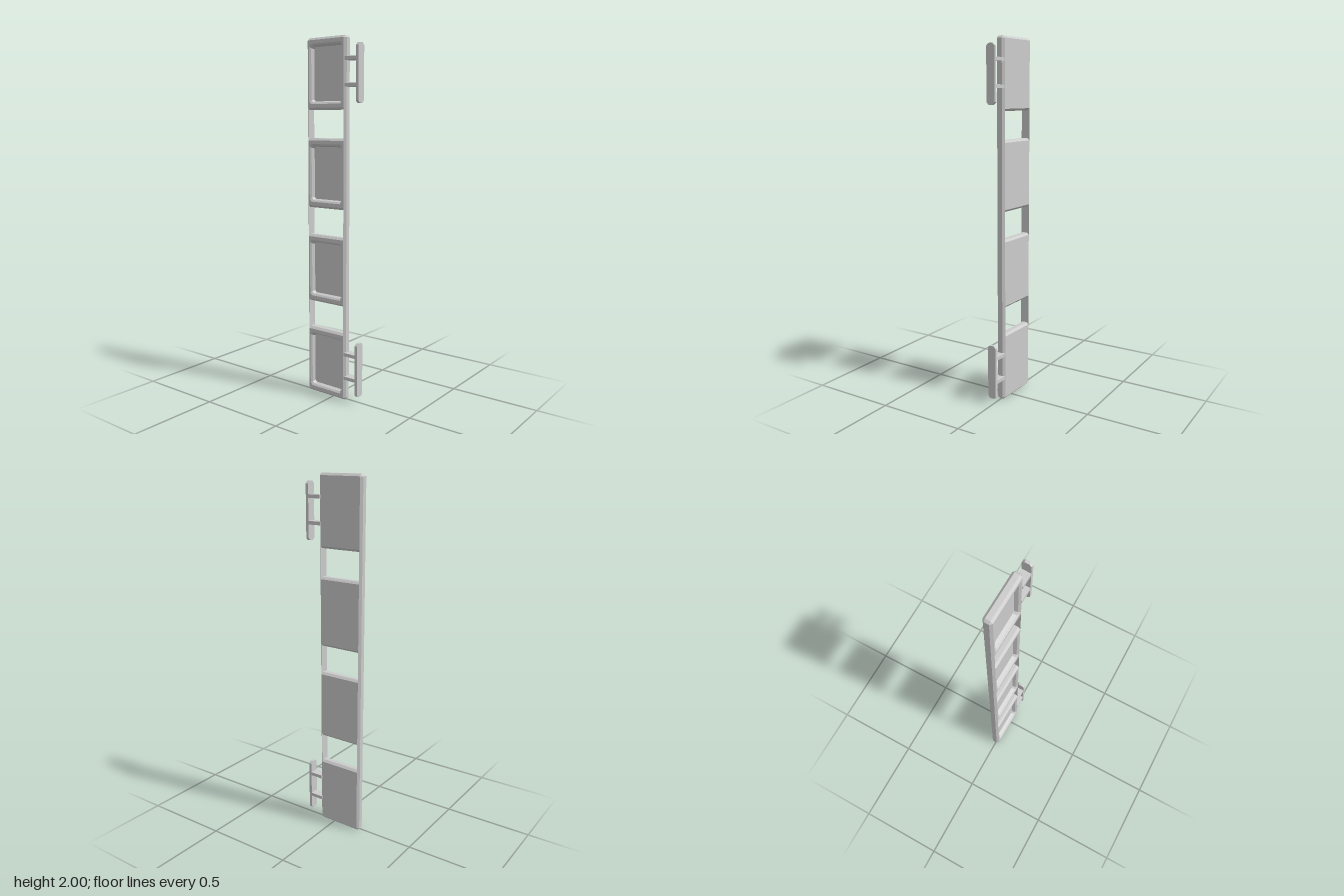
import * as THREE from 'three';
import { ConvexGeometry } from 'three/addons/geometries/ConvexGeometry.js';

const C = 0.012;            // chamfer
const D = 0.025;            // half thickness
const X0 = -0.166, X1 = 0.079; // inner faces of the side rails
const PANEL_H = 0.385, PITCH = (2 - PANEL_H) / 3;

const material = new THREE.MeshStandardMaterial({ color: 0xcccccc, flatShading: true });

function add(parent, name, geometry, x = 0, y = 0, z = 0) {
  const mesh = new THREE.Mesh(geometry, material);
  mesh.name = name;
  mesh.position.set(x, y, z);
  parent.add(mesh);
  return mesh;
}

// Rectangle with cut corners, counter-clockwise seen from the front
function ring([hx, hy, z, cut]) {
  return [
    [hx, -hy + cut], [hx, hy - cut], [hx - cut, hy], [-hx + cut, hy],
    [-hx, hy - cut], [-hx, -hy + cut], [-hx + cut, -hy], [hx - cut, -hy],
  ].map(([x, y]) => new THREE.Vector3(x, y, z));
}

// Skin a list of rings, closing the first and last
function loft(sections) {
  const rings = sections.map(ring);
  const pts = [];
  for (let r = 0; r < rings.length - 1; r++) {
    const a = rings[r], b = rings[r + 1];
    for (let i = 0; i < 8; i++) {
      const j = (i + 1) % 8;
      pts.push(a[i], a[j], b[j], a[i], b[j], b[i]);
    }
  }
  const first = rings[0], last = rings[rings.length - 1];
  for (let i = 1; i < 7; i++) {
    pts.push(first[0], first[i + 1], first[i], last[0], last[i], last[i + 1]);
  }
  const g = new THREE.BufferGeometry().setFromPoints(pts);
  g.computeVertexNormals();
  return g;
}

// Bevelled slab with a stepped recess in its front
function panelGeometry() {
  const hx = (X1 - X0) / 2, hy = PANEL_H / 2, e = 0.0001;
  const rx = hx - 0.007, ry = hy - 0.032;
  return loft([
    [hx, hy - C, -D, e],
    [hx, hy, -D + C, e],
    [hx, hy, D - C, e],
    [hx, hy - C, D, e],
    [rx, ry, D, 0.014],
    [rx - 0.009, ry - 0.009, D - 0.008, 0.012],
    [rx - 0.015, ry - 0.015, -0.002, 0.01],
  ]);
}

// Full-height rail tapering outwards, side = +1 or -1
function railGeometry(side) {
  const pts = [];
  for (const y of [-1, 1]) for (const z of [-1, 1]) {
    pts.push(new THREE.Vector3(0, y * (1 - C), z * D));
    pts.push(new THREE.Vector3(0, y, z * (D - C)));
    pts.push(new THREE.Vector3(side * C, y * (1 - C), z * (D - C)));
  }
  return new ConvexGeometry(pts);
}

// Wall plate with bevelled ends
function plateGeometry(height, width) {
  const h = height / 2, c = 0.013;
  const s = new THREE.Shape([
    [D, -h + c], [D, h - c], [D - c, h], [-D + c, h],
    [-D, h - c], [-D, -h + c], [-D + c, -h], [D - c, -h],
  ].map(([x, y]) => new THREE.Vector2(x, y)));
  const g = new THREE.ExtrudeGeometry(s, { depth: width, bevelEnabled: false });
  g.translate(0, 0, -width / 2);
  g.rotateY(Math.PI / 2);
  return g;
}

export function createModel() {
  const model = new THREE.Group();
  model.name = 'verticalSign';

  // The whole sign is turned very slightly
  const sign = new THREE.Group();
  sign.name = 'sign';
  sign.rotation.y = -0.02;
  sign.position.z = -0.001;
  model.add(sign);

  // Four recessed panels
  const panel = panelGeometry();
  for (let i = 0; i < 4; i++) {
    add(sign, 'panel' + (i + 1), panel, (X0 + X1) / 2, PANEL_H / 2 + i * PITCH);
  }

  // Side rails joining the panels
  add(sign, 'rightRail', railGeometry(-1), X0, 1);
  add(sign, 'leftRail', railGeometry(1), X1, 1);

  // Two mounting brackets on the left side
  const plate = plateGeometry(0.308, 0.016);
  const arm = new THREE.BoxGeometry(0.078, 0.019, 2 * (D - C) + 0.024);
  [['lowerBracket', 0.191], ['upperBracket', 1.803]].forEach(([name, y]) => {
    const bracket = new THREE.Group();
    bracket.name = name;
    bracket.position.y = y;
    add(bracket, 'wallPlate', plate, 0.168);
    for (const dy of [0.077, -0.06]) add(bracket, 'arm', arm, 0.123, dy);
    sign.add(bracket);
  });

  return model;
}
